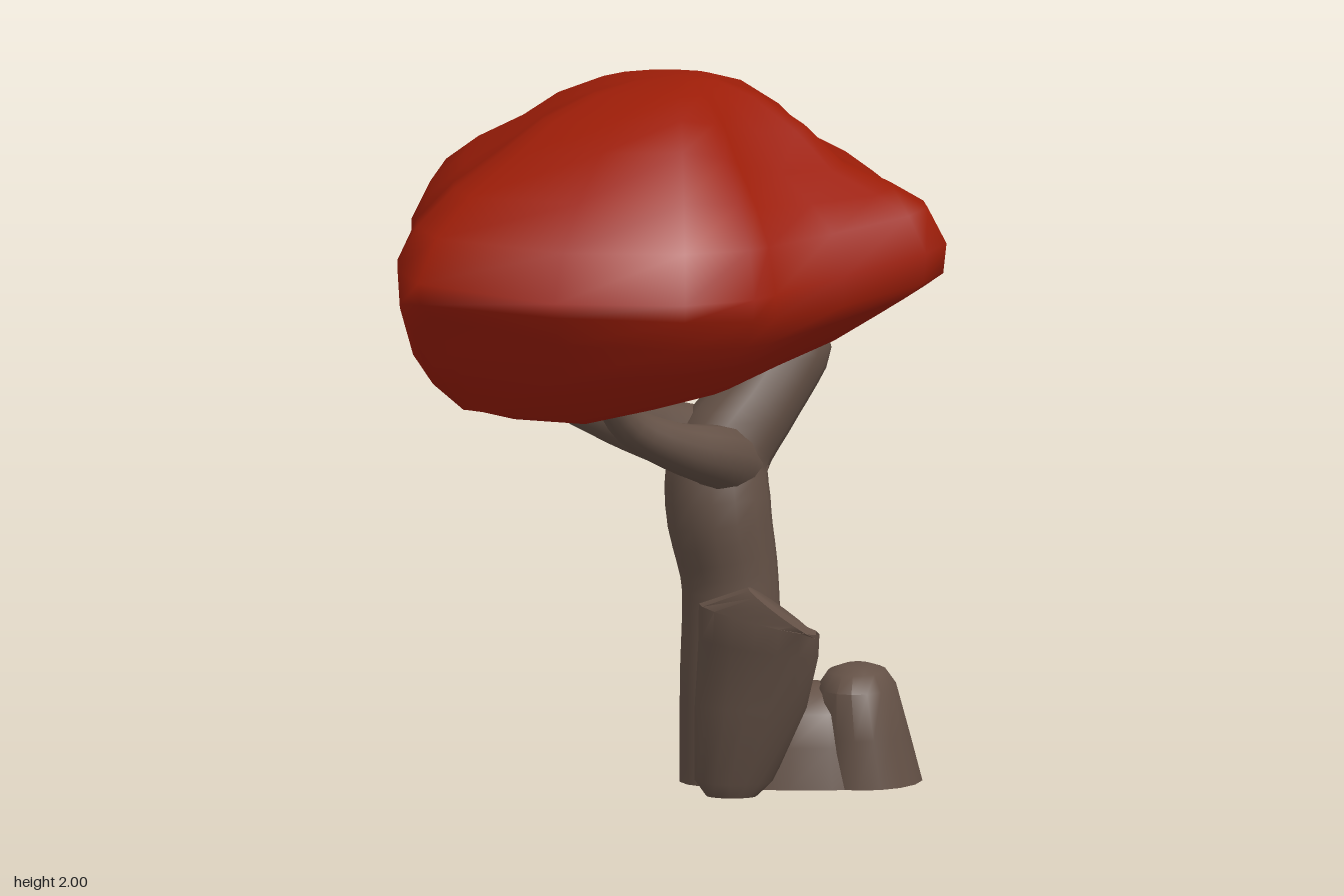
import * as THREE from 'three';
import { mergeVertices, toCreasedNormals } from 'three/addons/utils/BufferGeometryUtils.js';

// Skin a stack of closed rings (each an array of [x, y, z]), bottom to top.
function skin(rings, crease) {
  const n = rings[0].length, index = [];
  for (let i = 0; i < rings.length - 1; i++) {
    for (let j = 0; j < n; j++) {
      const k = (j + 1) % n;
      const a = i * n + j, b = i * n + k, c = a + n, d = b + n;
      index.push(a, c, b, b, c, d);
    }
  }
  let g = new THREE.BufferGeometry();
  g.setAttribute('position', new THREE.Float32BufferAttribute(rings.flat(2), 3));
  g.setIndex(index);
  g = mergeVertices(g, 1e-4);
  if (crease) return toCreasedNormals(g, crease);
  g.computeVertexNormals();
  return g;
}

// Round limb along a smooth path of [x, y, z, radius].
function limb(pts, sides = 12, steps = 14) {
  const curve = new THREE.CatmullRomCurve3(pts.map(p => new THREE.Vector3(p[0], p[1], p[2])));
  const { normals, binormals } = curve.computeFrenetFrames(steps, false);
  const rings = [];
  for (let i = 0; i <= steps; i++) {
    const u = i / steps, c = curve.getPointAt(u);
    const t = curve.getUtoTmapping(u) * (pts.length - 1);
    const k = Math.min(Math.floor(t), pts.length - 2);
    const r = THREE.MathUtils.lerp(pts[k][3], pts[k + 1][3], t - k);
    const ring = scale => Array.from({ length: sides }, (_, j) => {
      const a = j / sides * Math.PI * 2;
      return c.clone().addScaledVector(binormals[i], Math.cos(a) * r * scale)
        .addScaledVector(normals[i], Math.sin(a) * r * scale).toArray();
    });
    if (i === 0) rings.push(ring(0));
    rings.push(ring(1));
    if (i === steps) rings.push(ring(0));
  }
  return skin(rings, 1);
}

// Upright lump from ellipses [y, x, z, rx, rz, tilt, skew], closed at both ends.
function lump(levels, sides = 16) {
  const ring = ([y, x, z, rx, rz, tilt = 0, skew = 0], s = 1) => Array.from({ length: sides }, (_, j) => {
    const a = j / sides * Math.PI * 2, dx = Math.cos(a) * rx * s;
    return [x + dx, y + dx * tilt, z + Math.sin(a) * rz * s + dx * skew];
  });
  return skin([ring(levels[0], 0), ...levels.map(l => ring(l)), ring(levels.at(-1), 0)], 0.8);
}

// Canopy rim: x, z, height, fullness above, fullness below, edge thickness.
const RIM = [
  [-0.57, -0.81, 1.56, 0.5, 0.5, 0.11], [-0.12, -0.89, 1.53, 0.5, 0, 0.12], [0.33, -0.82, 1.53, 0.35, 0, 0.12],
  [0.52, -0.68, 1.53, 0.2, 0, 0.11], [0.6, -0.42, 1.53, 0.1, 0, 0.1], [0.69, -0.2, 1.53, 0, 0.1, 0.09],
  [0.73, -0.05, 1.55, 0, 0.2, 0.09], [0.755, 0.08, 1.55, 0, 0.2, 0.08], [0.71, 0.2, 1.54, 0, 0.2, 0.08],
  [0.5, 0.38, 1.5, 0.25, 0.2, 0.08], [0.33, 0.6, 1.48, 0.6, 0.35, 0.06], [0.28, 0.7, 1.48, 0.8, 0.3, 0.05],
  [0.1, 0.82, 1.48, 1, 0.2, 0.04], [-0.26, 0.885, 1.49, 1, 0, 0.04], [-0.65, 0.75, 1.52, 0.75, -0.4, 0.08],
  [-0.72, 0.62, 1.54, 0.7, 0, 0.1], [-0.73, 0.51, 1.55, 0.7, 0.5, 0.11], [-0.69, 0.26, 1.55, 0.7, 1, 0.11],
  [-0.73, 0.1, 1.56, 0.6, 0.9, 0.11], [-0.755, -0.15, 1.56, 0.6, 0.8, 0.11], [-0.74, -0.5, 1.58, 0.5, 0.85, 0.11],
];

function canopyGeometry() {
  const { lerp } = THREE.MathUtils;
  // Underside: shrink toward a low point, settling onto a sloping floor.
  const under = [[0, 1, 1], [0.3, 1, 1], [0.52, 1, 1], [0.7, 0.92, 1],
    [0.84, 0.53, 0.92], [0.93, 0.24, 0.7], [0.99, 0, 0.15]];
  const rings = under.map(([s, lean, full]) => RIM.map(([x, z, y, , q, edge]) => {
    const px = lerp(-0.15, x, s), pz = lerp(0.15, z, s);
    const floor = 1.1 + 0.21 * Math.max(0, px + 0.2) + 0.19 * Math.max(0, 0.4 - pz);
    return [px, lerp(y - edge, floor, lerp(lean, full, q)), pz];
  }));
  rings.push(RIM.map(([x, z, y]) => [x, y, z]));
  // Dome: shrink toward the peak, blending a lean and a full profile.
  const dome = [[0.93, 0.22, 0.26], [0.8, 0.34, 0.5], [0.62, 0.47, 0.73],
    [0.48, 0.69, 0.87], [0.3, 0.89, 0.96], [0.15, 0.975, 0.993], [0, 1, 1]];
  for (const [s, lean, full] of dome) {
    rings.push(RIM.map(([x, z, y, p]) => [x * s, lerp(y, 2, lerp(lean, full, p)), z * s]));
  }
  return skin(rings);
}

export function createModel() {
  const foliage = new THREE.MeshStandardMaterial({ color: 0x9c1d08 });
  foliage.name = 'red foliage';
  const bark = new THREE.MeshStandardMaterial({ color: 0x645146 });
  bark.name = 'brown bark';

  const group = new THREE.Group();
  group.name = 'tree';
  const add = (name, geometry, material = bark) => {
    const mesh = new THREE.Mesh(geometry, material);
    mesh.name = name;
    group.add(mesh);
  };

  add('canopy', canopyGeometry(), foliage);

  // Trunk with the thick limb that carries on upward to a rounded end
  add('trunk', limb([
    [0.14, 0.015, -0.05, 0.14], [0.14, 0.3, -0.055, 0.14], [0.14, 0.58, -0.055, 0.135],
    [0.11, 0.78, -0.035, 0.148], [0.11, 0.92, -0.06, 0.142], [0.215, 1.08, -0.12, 0.12],
    [0.295, 1.21, -0.185, 0.115], [0.325, 1.27, -0.2, 0.095], [0.335, 1.3, -0.205, 0.055],
  ], 14, 28));

  // Two thinner branches
  add('frontBranch', limb([
    [0.15, 0.89, -0.07, 0.1], [0.12, 0.94, 0.07, 0.09], [0.02, 0.99, 0.22, 0.07],
    [-0.1, 1.07, 0.35, 0.054], [-0.16, 1.17, 0.42, 0.045],
  ]));
  add('sideBranch', limb([
    [0.16, 0.93, -0.05, 0.11], [0.0, 0.97, -0.09, 0.1], [-0.2, 1.02, -0.14, 0.075],
    [-0.38, 1.1, -0.15, 0.052], [-0.45, 1.22, -0.13, 0.045],
  ]));

  // Cut-off stump in front of the trunk
  add('cutStump', lump([
    [0.0, 0.16, 0.12, 0.07, 0.05], [0.04, 0.165, 0.09, 0.11, 0.1], [0.25, 0.21, 0.08, 0.16, 0.12, 0, 0.25],
    [0.42, 0.235, 0.12, 0.175, 0.115, -0.08, 0.45], [0.5, 0.24, 0.14, 0.175, 0.1, -0.16, 0.45],
    [0.525, 0.31, 0.19, 0.1, 0.07, -0.65, 0.35],
  ]));

  // Rounded root and the saddle joining it to the trunk
  add('sideRoot', lump([
    [0.015, 0.51, -0.11, 0.16, 0.2], [0.15, 0.5, -0.105, 0.135, 0.19], [0.28, 0.49, -0.095, 0.11, 0.17],
    [0.325, 0.49, -0.09, 0.08, 0.12], [0.34, 0.49, -0.09, 0.04, 0.06],
  ]));
  add('rootSaddle', lump([
    [0.015, 0.32, -0.09, 0.31, 0.2], [0.13, 0.32, -0.09, 0.29, 0.18],
    [0.22, 0.33, -0.08, 0.24, 0.145], [0.27, 0.34, -0.08, 0.18, 0.09], [0.29, 0.34, -0.08, 0.1, 0.04],
  ]));

  return group;
}
